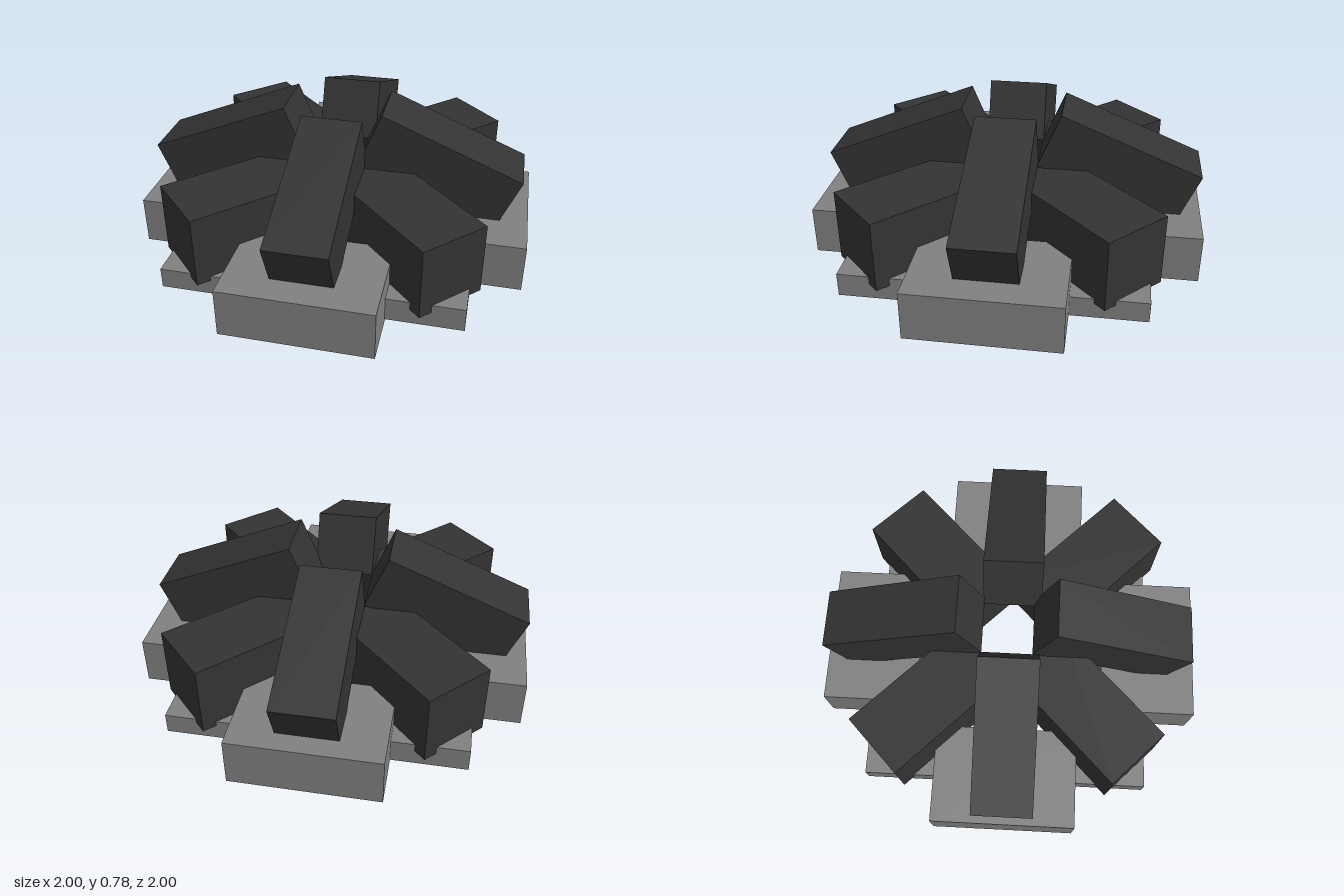
import * as THREE from 'three';

export function createModel() {
  const model = new THREE.Group();
  const stone = new THREE.MeshStandardMaterial({ color: 0x808080 });
  stone.name = 'grey stone';
  const char = new THREE.MeshStandardMaterial({ color: 0x333333 });
  char.name = 'charred black';

  const box = (parent, name, material, size, position) => {
    const mesh = new THREE.Mesh(new THREE.BoxGeometry(...size), material);
    mesh.name = name;
    mesh.position.set(...position);
    parent.add(mesh);
    return mesh;
  };

  for (let i = 0; i < 4; i++) {
    // One side of the ring: a large stone with a log leaning inwards on it
    const side = new THREE.Group();
    side.name = 'side' + (i + 1);
    side.rotation.y = i * Math.PI / 2; // +z, +x, -z, -x
    box(side, 'largeStone', stone, [0.745, 0.252, 0.5], [0, 0.126, 0.75]);
    const [y, z] = i < 2 ? [0.487, 0.535] : [0.477, 0.569];
    const log = box(side, 'leaningLog', char, [0.307, 0.31, 0.777], [0, y, z]);
    log.rotation.x = Math.PI / 8;
    model.add(side);

    // One corner of the ring: a low stone with a level log
    const corner = new THREE.Group();
    corner.name = 'corner' + (i + 1);
    corner.rotation.y = Math.PI / 4 + i * Math.PI / 2;
    const height = i % 2 ? 0.107 : 0.123;
    const stoneMesh = box(corner, 'smallStone', stone, [0.5, height, 0.5],
      [0, 0.016 + height / 2, 0.5 * Math.SQRT2]);
    stoneMesh.rotation.y = Math.PI / 4;
    box(corner, 'levelLog', char, [0.37, 0.372, 0.733], [0, 0.284, 0.581]);
    model.add(corner);
  }
  return model;
}
